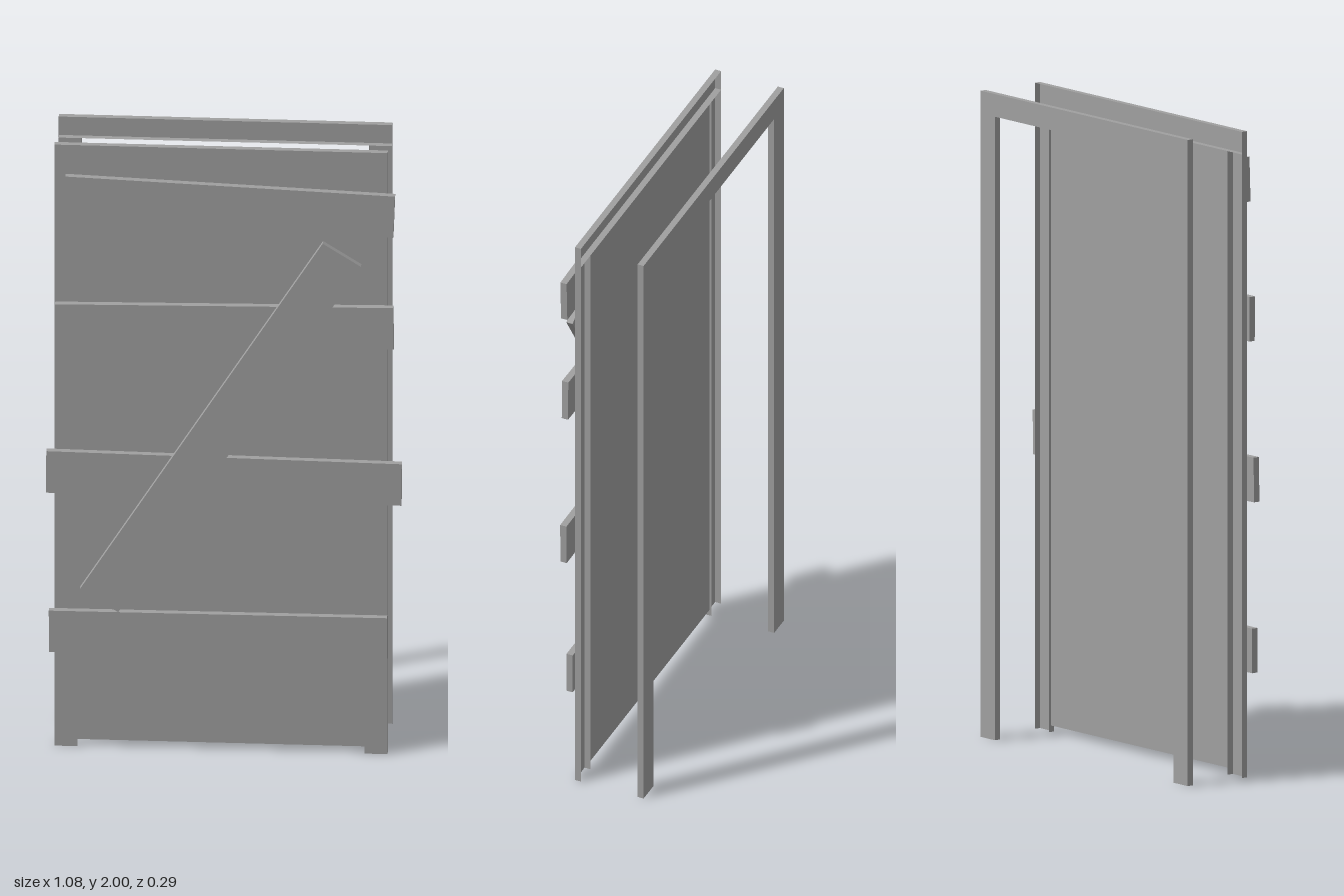
import * as THREE from 'three';

const grey = new THREE.MeshStandardMaterial({ color: 0xa0a0a0, side: THREE.DoubleSide });
grey.name = 'plain grey';

// Box that keeps only the listed sides (0 +x, 1 -x, 2 +y, 3 -y, 4 +z, 5 -z)
function openBox(w, h, d, sides) {
  const g = new THREE.BoxGeometry(w, h, d);
  const index = Array.from(g.index.array);
  g.setIndex(sides.flatMap((s) => index.slice(s * 6, s * 6 + 6)));
  g.clearGroups();
  return g;
}

function add(parent, name, geometry, x, y, z) {
  const mesh = new THREE.Mesh(geometry, grey);
  mesh.name = name;
  mesh.position.set(x, y, z);
  parent.add(mesh);
  return mesh;
}

const LEFT = 0.495, RIGHT = -0.52, TRIM = 0.07, DEPTH = 0.02, HEIGHT = 2;
const MID = (LEFT + RIGHT) / 2, WIDTH = LEFT - RIGHT;

// Door trim: hollow channels, open towards the wall and at the feet
function makeTrim(name) {
  const trim = new THREE.Group();
  trim.name = name;
  const jambHeight = HEIGHT - TRIM;
  for (const s of [-1, 1]) {
    add(trim, s > 0 ? 'leftJamb' : 'rightJamb', openBox(TRIM, jambHeight, DEPTH, [0, 1, 4]),
      s * (WIDTH - TRIM) / 2, jambHeight / 2, 0);
  }
  add(trim, 'header', openBox(WIDTH, TRIM, DEPTH, [0, 1, 2, 3, 4]), 0, HEIGHT - TRIM / 2, 0);
  trim.position.x = MID;
  return trim;
}

export function createModel() {
  const model = new THREE.Group();
  model.name = 'boardedDoor';

  const front = makeTrim('frontTrim');
  front.position.z = 0.07;
  const back = makeTrim('backTrim');
  back.position.z = -0.14;
  back.rotation.y = Math.PI;
  model.add(front, back);

  // Thin door leaf set inside the front trim
  add(model, 'doorPanel', new THREE.BoxGeometry(WIDTH - 2 * TRIM, 1.91, 0.004), MID, 0.975, 0.069);

  // Boards nailed across: name, x, y, z, length, tilt in degrees
  const boards = [
    ['topBoard', 0.015, 1.823, 0.107, 1.005, -2.2],
    ['upperBoard', 0, 1.423, 0.104, 1.03, 0.9],
    ['middleBoard', -0.002, 0.916, 0.098, 1.083, -0.7],
    ['lowerBoard', -0.02, 0.394, 0.098, 1.03, 0.2],
    ['diagonalBoard', -0.01, 1.1, 0.134, 1.384, 57.7],
  ];
  for (const [name, x, y, z, length, tilt] of boards) {
    const board = add(model, name, new THREE.BoxGeometry(length, 0.138, 0.021), x, y, z);
    board.rotation.z = THREE.MathUtils.degToRad(tilt);
  }
  return model;
}
